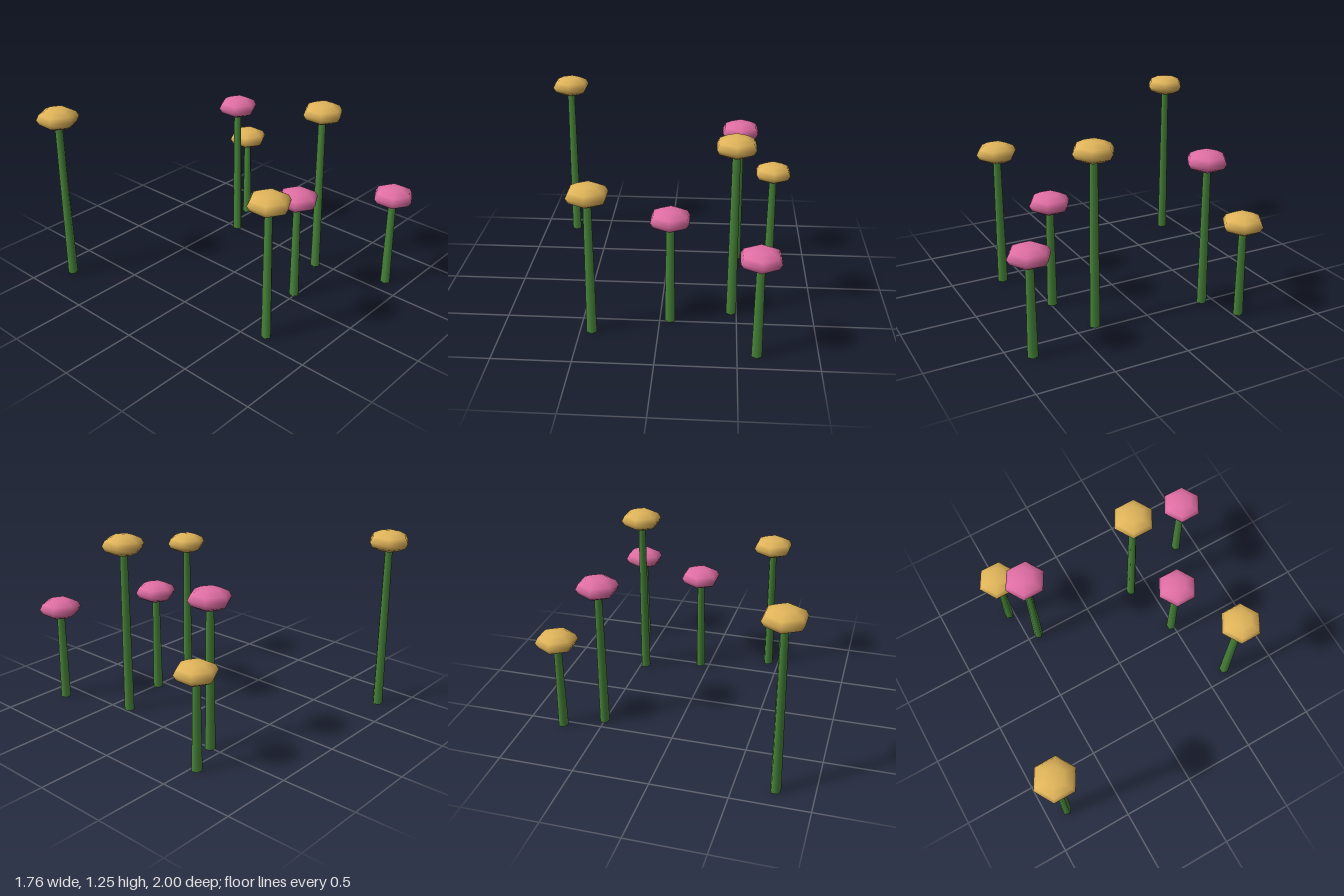
import * as THREE from 'three';

export function createModel() {
  const model = new THREE.Group();
  const green = new THREE.MeshStandardMaterial({ name: 'stem green', color: 0x4a8a3c });
  const yellow = new THREE.MeshStandardMaterial({ name: 'blossom yellow', color: 0xe0b45a });
  const pink = new THREE.MeshStandardMaterial({ name: 'blossom pink', color: 0xe06ea4 });

  // Six-sided blossom, flattened to half height, with corners toward front and back
  const blossomShape = new THREE.SphereGeometry(0.14, 6, 6);
  blossomShape.rotateY(Math.PI / 2);
  blossomShape.scale(1, 0.5, 1);

  // x, z, blossom centre height, colour
  const flowers = [
    [-0.76, -0.86, 1.175, yellow],
    [-0.423, 0.652, 0.953, yellow],
    [0.067, 0.487, 0.73, pink],
    [0.465, 0.366, 1.175, yellow],
    [0.503, -0.418, 1.003, pink],
    [0.62, 0.86, 0.667, pink],
    [0.755, -0.538, 0.645, yellow],
  ];

  for (const [x, z, height, colour] of flowers) {
    const flower = new THREE.Group();
    flower.name = 'flower';
    flower.position.set(x, 0, z);

    // Slightly tapered five-sided stem
    const stem = new THREE.Mesh(new THREE.CylinderGeometry(0.026, 0.035, height, 5), green);
    stem.name = 'stem';
    stem.position.y = height / 2;

    const blossom = new THREE.Mesh(blossomShape, colour);
    blossom.name = 'blossom';
    blossom.position.y = height;

    flower.add(stem, blossom);
    model.add(flower);
  }
  return model;
}
